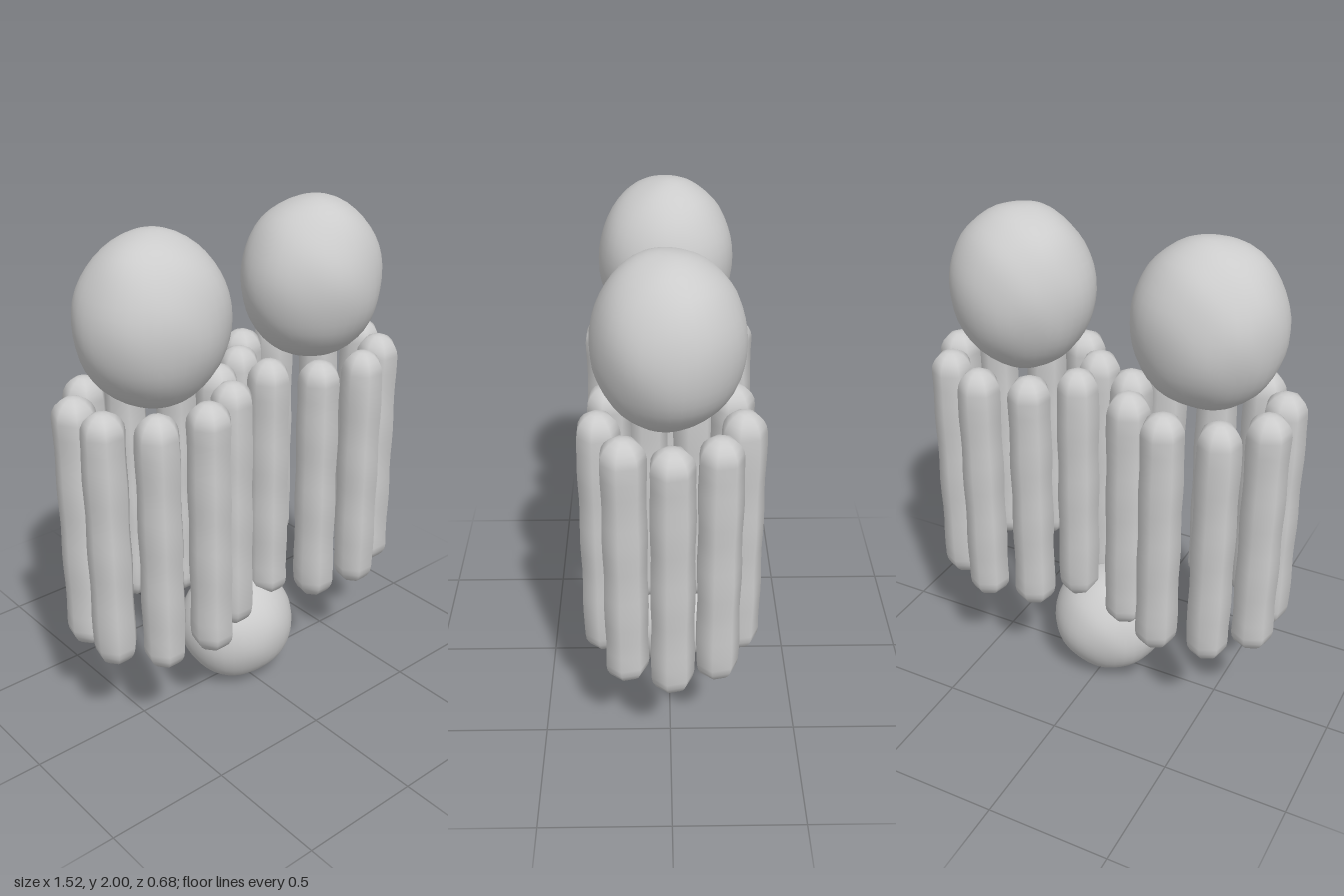
import * as THREE from 'three';
import { mergeVertices } from 'three/addons/utils/BufferGeometryUtils.js';

const material = new THREE.MeshStandardMaterial({ color: 0xcccccc });

// Moves every vertex by a rule and rebuilds smooth, seamless normals
function sculpt(geometry, rule) {
  geometry.deleteAttribute('uv');
  geometry.deleteAttribute('normal');
  const merged = mergeVertices(geometry, 1e-4);
  const pos = merged.attributes.position;
  const v = new THREE.Vector3();
  for (let i = 0; i < pos.count; i++) {
    rule(v.fromBufferAttribute(pos, i));
    pos.setXYZ(i, v.x, v.y, v.z);
  }
  merged.computeVertexNormals();
  return merged;
}

// Slightly lumpy ball, squashed to the given radii
function lumpyBall(name, center, radii, seed) {
  const geometry = sculpt(new THREE.SphereGeometry(1, 36, 24), (v) => {
    const { x, y, z } = v;
    const lump = Math.sin(4 * x + 3 * y + seed) * Math.sin(4 * z - 2 * y + 2 * seed)
      + 0.5 * Math.sin(7 * y + 5 * z + seed) * Math.sin(6 * x - 3 * z);
    v.multiplyScalar(1 + 0.012 * lump).multiply(new THREE.Vector3(...radii));
  });
  const ball = new THREE.Mesh(geometry, material);
  ball.name = name;
  ball.position.set(...center);
  return ball;
}

// Seven-sided upright rod with rounded ends and a slightly uneven surface
function rod(x, z, seed) {
  const base = new THREE.CapsuleGeometry(0.083, 0.876, 5, 7, 14);
  base.rotateY(-Math.PI / 2);
  const geometry = sculpt(base, (v) => {
    const bump = 1 + 0.025 * Math.sin(v.y * 21 + seed * 2.3 + 9 * v.x);
    v.x = v.x * bump - v.y * 0.006;
    v.z *= bump;
  });
  const mesh = new THREE.Mesh(geometry, material);
  mesh.name = 'rod';
  mesh.position.set(x, 0.91, z);
  return mesh;
}

// Open ring of nine rods
function rodRing(name, centerX, seed) {
  const ring = new THREE.Group();
  ring.name = name;
  for (let i = 0; i < 9; i++) {
    const a = (i / 9) * Math.PI * 2;
    ring.add(rod(centerX + 0.302 * Math.cos(a), 0.262 * Math.sin(a) - 0.003, i + seed));
  }
  return ring;
}

export function createModel() {
  const model = new THREE.Group();
  model.name = 'rodRingsWithBalls';
  model.add(
    rodRing('rightRodRing', -0.393, 0),
    rodRing('leftRodRing', 0.375, 4),
    lumpyBall('rightTopBall', [-0.395, 1.68, 0.005], [0.29, 0.32, 0.267], 1),
    lumpyBall('leftTopBall', [0.375, 1.68, 0.005], [0.285, 0.32, 0.27], 2.2),
    lumpyBall('bottomBall', [-0.007, 0.238, 0], [0.245, 0.236, 0.23], 3.7),
  );
  return model;
}
